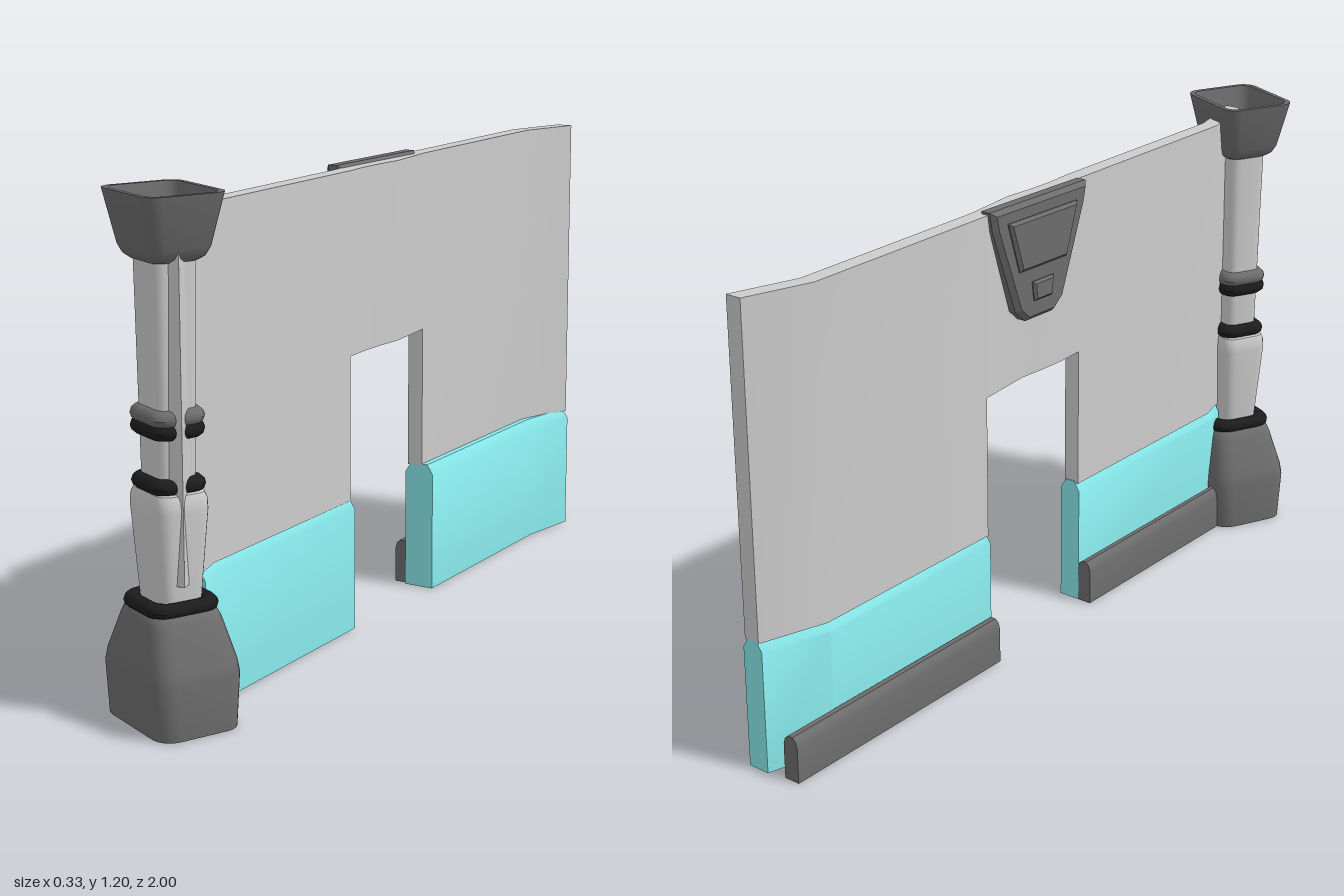
import * as THREE from 'three';
import { toCreasedNormals } from 'three/addons/utils/BufferGeometryUtils.js';

const mat = (color) => new THREE.MeshStandardMaterial({ color, side: THREE.DoubleSide });
const GREY = mat(0xcccccc), DARK = mat(0x6c6c6c), BLACK = mat(0x1c1c1c), TEAL = mat(0x88e8ea);

// Skins a series of equal-length point loops; optional end caps
function loft(rings, caps = true) {
  const n = rings[0].length, m = rings.length, pos = rings.flat(2), idx = [];
  for (let i = 0; i < m - 1; i++) {
    for (let j = 0; j < n; j++) {
      const a = i * n + j, b = i * n + (j + 1) % n, c = b + n, d = a + n;
      idx.push(a, d, c, a, c, b);
    }
  }
  if (caps) {
    const e = (m - 1) * n;
    for (let k = 1; k < n - 1; k++) idx.push(0, k, k + 1, e, e + k + 1, e + k);
  }
  const g = new THREE.BufferGeometry();
  g.setAttribute('position', new THREE.Float32BufferAttribute(pos, 3));
  g.setIndex(idx);
  return toCreasedNormals(g, 0.6);
}

// Upright slab following stations [z, xMin, xMax], with height rows [y, inset]
function slab(stations, rows) {
  return loft(stations.map(([z, l, r]) => [
    ...rows.map(([y, s]) => [r - s, y, z]),
    ...[...rows].reverse().map(([y, s]) => [l + s, y, z]),
  ]));
}

// Rounded rectangle loop at height y
function roundRect(y, w, d, r) {
  const pts = [];
  [[1, 1], [-1, 1], [-1, -1], [1, -1]].forEach(([sx, sz], q) => {
    for (let k = 0; k <= 4; k++) {
      const a = (q + k / 4) * Math.PI / 2;
      pts.push([sx * (w - r) + r * Math.cos(a), y, sz * (d - r) + r * Math.sin(a)]);
    }
  });
  return pts;
}
const stack = (rows, caps) => loft(rows.map((p) => roundRect(...p)), caps);

// Rounded band around the pillar
function band(y, w, d, r, t) {
  const rows = [];
  for (let k = 0; k <= 12; k++) {
    const a = -Math.PI / 2 + k / 12 * Math.PI * 2, o = t * (Math.cos(a) - 1);
    rows.push([y + t * Math.sin(a), w + o, d + o, r + o * 0.5]);
  }
  return stack(rows, false);
}

export function createModel() {
  const model = new THREE.Group();
  const add = (name, geo, material, parent = model) => {
    const mesh = new THREE.Mesh(geo, material);
    mesh.name = name;
    parent.add(mesh);
    return mesh;
  };

  // Wall in three runs, leaving the doorway open
  const line = (pts) => pts.map(([z, c]) => [z, c - 0.021, c + 0.021]);
  const high = [[0.335, 0], [1.155, 0]];
  add('wallNearPillar', slab(line([[0.905, 0.055], [0.72, 0.005], [0.125, 0.005]]), high), GREY);
  add('wallOverDoor', slab(line([[0.125, 0.005], [0.05, 0], [-0.03, 0.002], [-0.1, 0.008],
    [-0.2, -0.002], [-0.255, -0.008]]), [[0.7, 0], [1.155, 0]]), GREY);
  add('wallFarEnd', slab(line([[-0.255, -0.008], [-0.83, -0.008], [-1, 0.045]]), high), GREY);

  // Coloured lower panels with a chamfered top edge
  const low = [[0.005, 0], [0.315, 0], [0.34, 0.016]];
  add('lowerPanelNearPillar', slab([[0.79, -0.005, 0.05], [0.72, -0.022, 0.036],
    [0.122, -0.022, 0.036]], low), TEAL);
  add('lowerPanelFarEnd', slab([[-0.255, -0.036, 0.045], [-0.83, -0.036, 0.045],
    [-1, 0.015, 0.072]], low), TEAL);

  // Skirting rails with rounded tops
  const rail = [[0.005, 0], [0.095, 0], [0.112, 0.005], [0.12, 0.014]];
  add('skirtingNearPillar', slab([[0.72, -0.06, -0.02], [0.122, -0.06, -0.02]], rail), DARK);
  add('skirtingFarEnd', slab([[-0.265, -0.072, -0.03], [-0.99, -0.072, -0.03]], rail), DARK);

  // Tapered ornament above the door
  const ornament = new THREE.Group();
  ornament.name = 'doorOrnament';
  ornament.position.set(-0.005, 0, -0.07);
  ornament.rotation.y = -Math.PI / 2 - 0.04;
  model.add(ornament);
  const plate = (name, half, depth, z, bevel) => {
    const pts = [...half, ...[...half].reverse().map(([u, v]) => [-u, v])];
    const shape = new THREE.Shape(pts.map(([u, v]) => new THREE.Vector2(u, v)));
    const geo = new THREE.ExtrudeGeometry(shape, { depth, bevelThickness: bevel,
      bevelSize: bevel, bevelOffset: -bevel, bevelSegments: 1 });
    add(name, geo, DARK, ornament).position.z = z;
  };
  plate('ornamentPlate', [[0.05, 0.86], [0.085, 0.89], [0.165, 1.11], [0.175, 1.162]], 0.025, 0.012, 0.012);
  plate('ornamentPanel', [[0.085, 0.995], [0.125, 1.125]], 0.005, 0.047, 0.008);
  plate('ornamentStud', [[0.032, 0.91], [0.038, 0.96]], 0.005, 0.047, 0.006);

  // Pillar, turned on its own axis
  const pillar = new THREE.Group();
  pillar.name = 'pillar';
  pillar.position.set(0.002, 0, 0.855);
  pillar.rotation.y = -0.44;
  model.add(pillar);
  add('pillarBase', stack([[0.005, 0.14, 0.104, 0.045], [0.13, 0.146, 0.109, 0.045],
    [0.16, 0.14, 0.106, 0.045], [0.25, 0.102, 0.088, 0.04], [0.268, 0.094, 0.082, 0.04],
    [0.278, 0.08, 0.07, 0.035]]), DARK, pillar);
  add('pillarSleeve', stack([[0.27, 0.064, 0.05, 0.025], [0.5, 0.084, 0.064, 0.03],
    [0.525, 0.083, 0.063, 0.03], [0.54, 0.077, 0.058, 0.028], [0.546, 0.06, 0.045, 0.02]], false), GREY, pillar);
  add('pillarShaft', stack([[0.5, 0.055, 0.045, 0.022], [1.07, 0.064, 0.052, 0.025]], false), GREY, pillar);

  // Hollow capital
  add('capital', stack([[1.05, 0.05, 0.045, 0.02], [1.05, 0.066, 0.058, 0.028],
    [1.06, 0.08, 0.07, 0.03], [1.08, 0.09, 0.078, 0.03], [1.2, 0.118, 0.1, 0.035],
    [1.2, 0.106, 0.088, 0.03], [1.09, 0.08, 0.068, 0.026], [1.07, 0.05, 0.045, 0.02]], false), DARK, pillar);

  // Bands
  add('lowBand', band(0.282, 0.092, 0.088, 0.045, 0.018), BLACK, pillar);
  add('middleBand', band(0.556, 0.076, 0.066, 0.035, 0.019), BLACK, pillar);
  add('upperBand', band(0.68, 0.076, 0.066, 0.035, 0.02), BLACK, pillar);
  add('upperCollar', band(0.708, 0.076, 0.066, 0.035, 0.021), DARK, pillar);
  return model;
}
